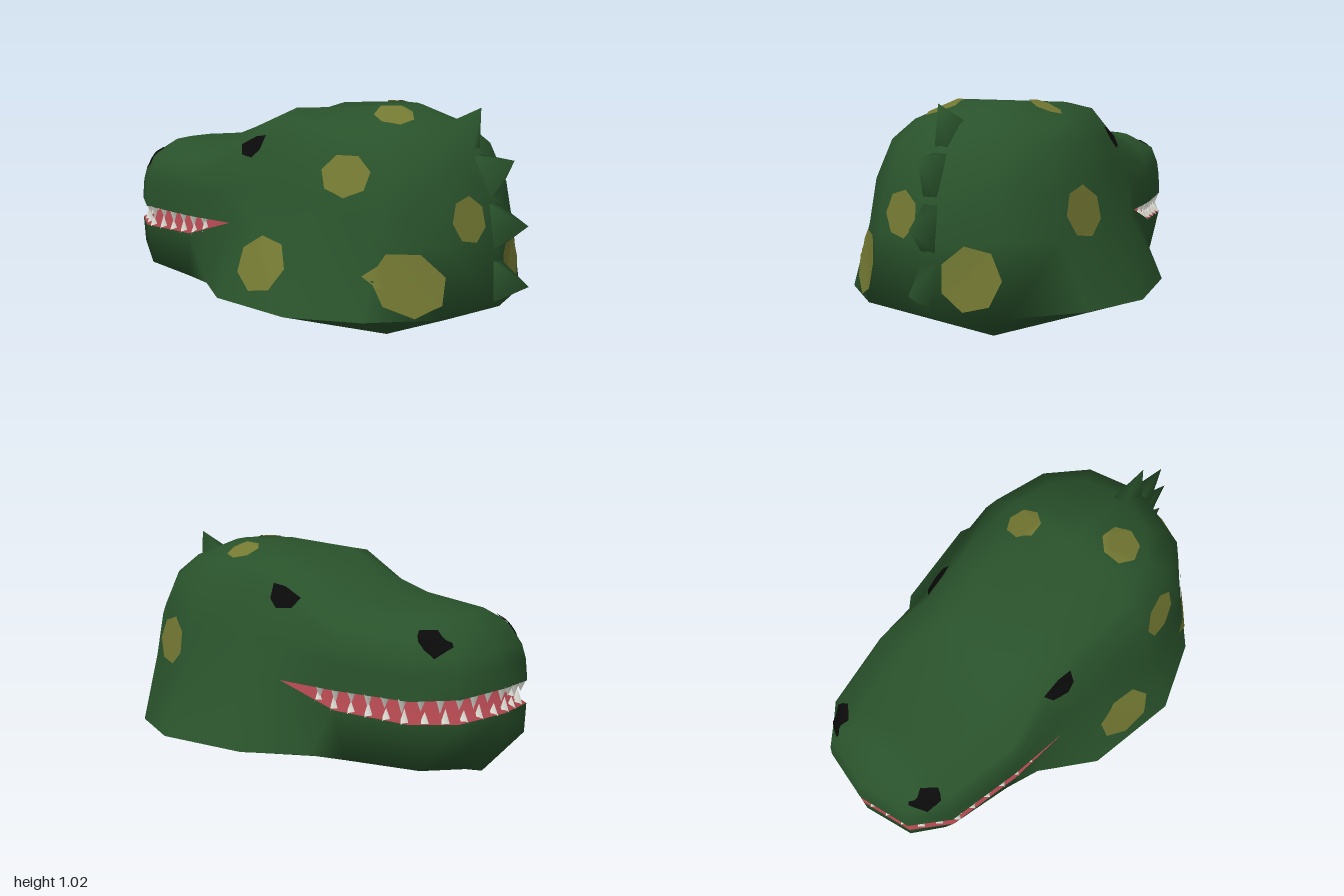
import * as THREE from 'three';
import { mergeVertices } from 'three/addons/utils/BufferGeometryUtils.js';

const mat = (name, color, side = THREE.FrontSide) => {
  const m = new THREE.MeshStandardMaterial({ color, side });
  m.name = name;
  return m;
};
const V = (x, y, z) => new THREE.Vector3(x, y, z);

// Skin over columns of points; quads are skipped where skip(row) is true.
// Diagonals are mirrored in the second half so both sides match.
function loft(columns, closed, skip = () => false) {
  const pos = [], index = [], n = columns[0].length, count = columns.length;
  columns.forEach(c => c.forEach(p => pos.push(p.x, p.y, p.z)));
  for (let k = 0; k < (closed ? count : count - 1); k++) {
    for (let r = 0; r < n - 1; r++) {
      if (skip(r)) continue;
      const a = k * n + r, b = ((k + 1) % count) * n + r;
      if (k < count / 2) index.push(a, b, b + 1, a, b + 1, a + 1);
      else index.push(a, b, a + 1, b, b + 1, a + 1);
    }
  }
  const g = new THREE.BufferGeometry();
  g.setAttribute('position', new THREE.Float32BufferAttribute(pos, 3));
  g.setIndex(index);
  const merged = mergeVertices(g, 1e-4);
  merged.computeVertexNormals();
  return merged;
}

// Profiles from the lip line to the crown: inward scales wx and wz, height fraction h
const skull = { wx: [1, 0.94, 0.81, 0.63, 0.29, 0], wz: [1, 0.94, 0.81, 0.63, 0.29, 0], h: [0, 0.37, 0.69, 0.85, 1, 1] };
const brow = { wx: [1, 0.91, 0.75, 0.61, 0.35, 0], wz: [1, 0.91, 0.76, 0.61, 0.35, 0], h: [0, 0.38, 0.74, 1.01, 1.06, 1] };
const cheek = { wx: [1, 0.94, 0.82, 0.72, 0.4, 0], wz: [1, 0.94, 0.81, 0.63, 0.29, 0], h: [0, 0.37, 0.69, 0.86, 1, 1] };
const snout = { wx: [1, 0.99, 0.97, 0.9, 0.55, 0], wz: [1, 0.96, 0.88, 0.66, 0.4, 0], h: [0, 0.3, 0.5, 0.74, 0.94, 1] };

// Stations from the nape round the left flank to the nose:
// rim point, upper lip point, lower lip height, crown [y, z], profile
const stations = [
  [V(0, 0.22, 0.87), V(0, 0.5, 0.86), 0.5, [1.01, 0.3], skull],
  [V(0.31, 0.22, 0.8), V(0.27, 0.5, 0.78), 0.5, [1.01, 0.3], skull],
  [V(0.54, 0.22, 0.57), V(0.44, 0.5, 0.59), 0.5, [1.01, 0.3], skull],
  [V(0.66, 0.22, 0.28), V(0.52, 0.49, 0.3), 0.49, [1.01, 0.3], skull],
  [V(0.6, 0.22, -0.13), V(0.5, 0.5, 0), 0.5, [0.96, -0.06], brow],
  [V(0.43, 0.215, -0.35), V(0.44, 0.505, -0.2), 0.505, [0.89, -0.3], cheek],
  [V(0.38, 0.215, -0.5), V(0.41, 0.5, -0.47), 0.42, [0.84, -0.42], snout],
  [V(0.3, 0.22, -0.82), V(0.35, 0.5, -0.8), 0.41, [0.81, -0.72], snout],
  [V(0.22, 0.295, -0.95), V(0.23, 0.51, -0.95), 0.415, [0.81, -0.72], snout],
  [V(0, 0.3, -1), V(0, 0.525, -1), 0.425, [0.81, -0.72], snout],
];
const flip = p => V(-p.x, p.y, p.z);
const lowerLip = s => V(s[1].x, s[2], s[1].z);

// Mirrors a run of columns to the other side of the nose
const mirrored = (cols, dropFirst) =>
  [...cols, ...cols.slice(dropFirst ? 1 : 0, -1).reverse().map(c => c.map(flip))];

// Keel, rim (overlapped by a hair on the flanks to keep a sharp edge), lips, crown
function headColumn(s, k) {
  const [rim, lip, , [topY, topZ], prof] = s;
  const keelZ = Math.max(-0.9, Math.min(0.32, rim.z));
  const sharp = k >= 2 && k <= 5 ? 0.001 : 0;
  const upper = prof.h.map((h, i) =>
    V(lip.x * prof.wx[i], lip.y + (topY - lip.y) * h, topZ + (lip.z - topZ) * prof.wz[i]));
  return [V(0, (0.32 - keelZ) * 0.139, keelZ), V(rim.x, rim.y + sharp, rim.z), rim, lowerLip(s), ...upper];
}

// Thin patch laid on the skin by projecting an outline along dir
function patch(skin, origin, dir, outline) {
  const d = dir.clone().normalize();
  const up = Math.abs(d.y) > 0.9 ? V(0, 0, -1) : V(0, 1, 0);
  const u = up.clone().cross(d).normalize(), v = d.clone().cross(u);
  const ray = new THREE.Raycaster();
  const project = (a, b) => {
    const from = origin.clone().addScaledVector(u, a).addScaledVector(v, b).addScaledVector(d, 2);
    ray.set(from, d.clone().negate());
    const hit = ray.intersectObject(skin)[0];
    return hit ? hit.point.addScaledVector(hit.face.normal, 0.006) : null;
  };
  const cu = outline.reduce((t, p) => t + p[0], 0) / outline.length;
  const cv = outline.reduce((t, p) => t + p[1], 0) / outline.length;
  const middle = project(cu, cv);
  // Split each edge so the patch follows the skin
  const edge = outline.flatMap((p, i) => {
    const q = outline[(i + 1) % outline.length];
    return [0, 0.25, 0.5, 0.75].map(t => [p[0] + (q[0] - p[0]) * t, p[1] + (q[1] - p[1]) * t]);
  });
  const rings = [1, 0.85, 0.7, 0.55, 0.4, 0.2, 0];
  return loft(edge.map(([a, b]) => rings.map(t =>
    project(cu + (a - cu) * t, cv + (b - cv) * t) || middle)), true);
}

const polygon = (rx, ry, turn) => Array.from({ length: 7 }, (_, i) => {
  const a = turn + i / 7 * Math.PI * 2;
  return [Math.cos(a) * rx, Math.sin(a) * ry];
});

export function createModel() {
  const group = new THREE.Group();
  const green = mat('skin green', 0x29522b);
  const olive = mat('spot olive', 0x737832, THREE.DoubleSide);
  const black = mat('eye black', 0x0a0a0a, THREE.DoubleSide);
  const red = mat('mouth red', 0xa8434b, THREE.DoubleSide);
  const white = mat('tooth white', 0xe6e6dc);
  const add = (name, geometry, material) => {
    const m = new THREE.Mesh(geometry, material);
    m.name = name;
    group.add(m);
    return m;
  };

  // Head skin with an open mouth slit
  const skin = add('head', loft(mirrored(stations.map(headColumn), true), true, r => r === 1 || r === 3), green);

  // Mouth lining, rising towards the middle
  const jaw = stations.slice(5);
  const lining = (edge, slope) => loft(mirrored(jaw.map((s, i) => {
    const p = edge(s), rise = i ? p.x * p.x * slope : 0;
    return [p, V(p.x * 0.5, p.y + rise, p.z), V(0, p.y + rise, p.z)];
  }), false), false);
  add('lowerMouth', lining(lowerLip, 0.37), red);
  add('upperMouth', lining(s => s[1], 0.03), red);

  // Teeth along both lips
  function teeth(name, edge, count, sign) {
    const pts = mirrored(jaw.map(s => [edge(s)]), false).map(c => c[0]);
    const path = new THREE.CurvePath();
    for (let i = 1; i < pts.length; i++) path.add(new THREE.LineCurve3(pts[i - 1], pts[i]));
    const row = new THREE.Group();
    row.name = name;
    for (let i = 0; i < count; i++) {
      const t = 0.1 + 0.8 * i / (count - 1);
      const p = path.getPointAt(t);
      const h = 0.048 + 0.012 * (i % 2);
      const tooth = new THREE.Mesh(new THREE.ConeGeometry(0.023, h, 4), white);
      tooth.name = 'tooth';
      tooth.position.set(p.x * 0.955, p.y + sign * h * 0.45, p.z + 0.02);
      if (sign < 0) tooth.rotation.x = Math.PI;
      row.add(tooth);
    }
    group.add(row);
  }
  teeth('upperTeeth', s => s[1], 23, -1);
  teeth('lowerTeeth', lowerLip, 22, 1);

  // Back spines: tip, upper base, lower base as [y, z]
  [[[1.02, 0.765], [0.94, 0.6], [0.84, 0.745]],
    [[0.82, 0.92], [0.83, 0.75], [0.67, 0.835]],
    [[0.565, 0.99], [0.64, 0.83], [0.46, 0.855]],
    [[0.32, 1], [0.41, 0.855], [0.24, 0.86]]].forEach(([tip, hi, lo]) => {
    const t = V(0, ...tip), w = 0.03;
    const base = [V(-w, ...lo), V(w, ...lo), V(w, ...hi), V(-w, ...hi)];
    add('backSpine', loft(base.map(p => [p, t]), true), green);
  });

  // Skin spots: centre, projection direction, radii, turn
  [[V(-0.145, 0.59, 0), V(0, 0, 1), 0.085, 0.095, 0.5],
    [V(-0.39, 0.358, 0), V(0, 0, 1), 0.105, 0.13, 0.2],
    [V(0.165, 0.362, 0), V(0, 0, 1), 0.12, 0.13, 0.9],
    [V(0, 0.59, 0.445), V(1, 0, 0), 0.105, 0.105, 0.5],
    [V(0, 0.385, 0.08), V(-1, 0, 0), 0.135, 0.11, 0],
    [V(-0.44, 0.77, 0.41), V(-0.9, 0.4, 0.1), 0.105, 0.09, 0.3],
    [V(-0.15, 0, 0.45), V(0, 1, 0), 0.08, 0.085, 0.4],
    [V(0.21, 0, 0.25), V(0, 1, 0), 0.07, 0.075, 0.1]].forEach(([c, d, rx, ry, turn]) =>
    add('spot', patch(skin, c, d, polygon(rx, ry, turn)), olive));

  // Eyes and nostrils, outlined as [forward, up] and mirrored
  const features = {
    Eye: [[0.08, 0.82], [0.12, 0.785], [0.19, 0.79], [0.215, 0.83], [0.13, 0.87], [0.07, 0.88]],
    Nostril: [[0.77, 0.755], [0.82, 0.69], [0.86, 0.66], [0.895, 0.7], [0.885, 0.715], [0.82, 0.755]],
  };
  for (const [name, outline] of Object.entries(features)) {
    const g = patch(skin, V(0, 0, 0), V(1, 0, 0), outline);
    add('left' + name, g, black);
    add('right' + name, g, black).scale.x = -1;
  }
  return group;
}
